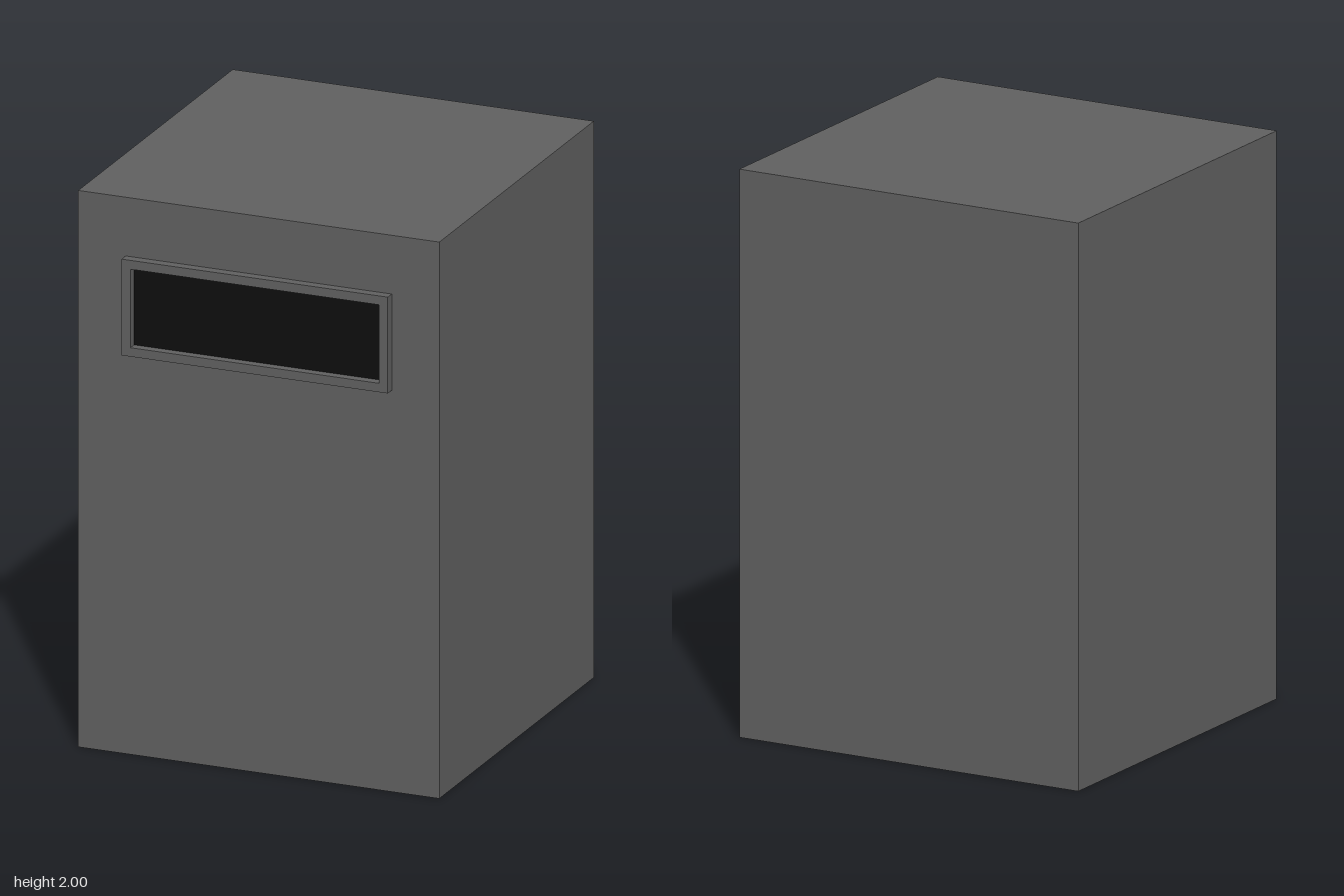
import * as THREE from 'three';

const FRONT = 0.648, BACK = -0.683; // z of the cabinet faces

function rect(PathType, w, h) {
  return new PathType([[-w, -h], [w, -h], [w, h], [-w, h]].map(([x, y]) => new THREE.Vector2(x / 2, y / 2)));
}

export function createModel() {
  const group = new THREE.Group();
  const grey = new THREE.MeshStandardMaterial({ color: 0x606060 });
  const black = new THREE.MeshStandardMaterial({ color: 0x0d0d0d });

  const add = (name, geometry, material, x, y, z) => {
    const mesh = new THREE.Mesh(geometry, material);
    mesh.name = name;
    mesh.position.set(x, y, z);
    group.add(mesh);
  };

  // Plain upright cabinet
  add('cabinet', new THREE.BoxGeometry(1.33, 2, FRONT - BACK), grey, 0, 1, (FRONT + BACK) / 2);

  // Raised rim around the window
  const rim = rect(THREE.Shape, 0.98, 0.346);
  rim.holes.push(rect(THREE.Path, 0.915, 0.282));
  add('windowFrame', new THREE.ExtrudeGeometry(rim, { depth: 0.035, bevelEnabled: false }), grey, 0, 1.616, FRONT);

  // Dark panel set inside the rim
  add('windowPanel', new THREE.PlaneGeometry(0.915, 0.282), black, 0, 1.616, FRONT + 0.003);

  return group;
}
